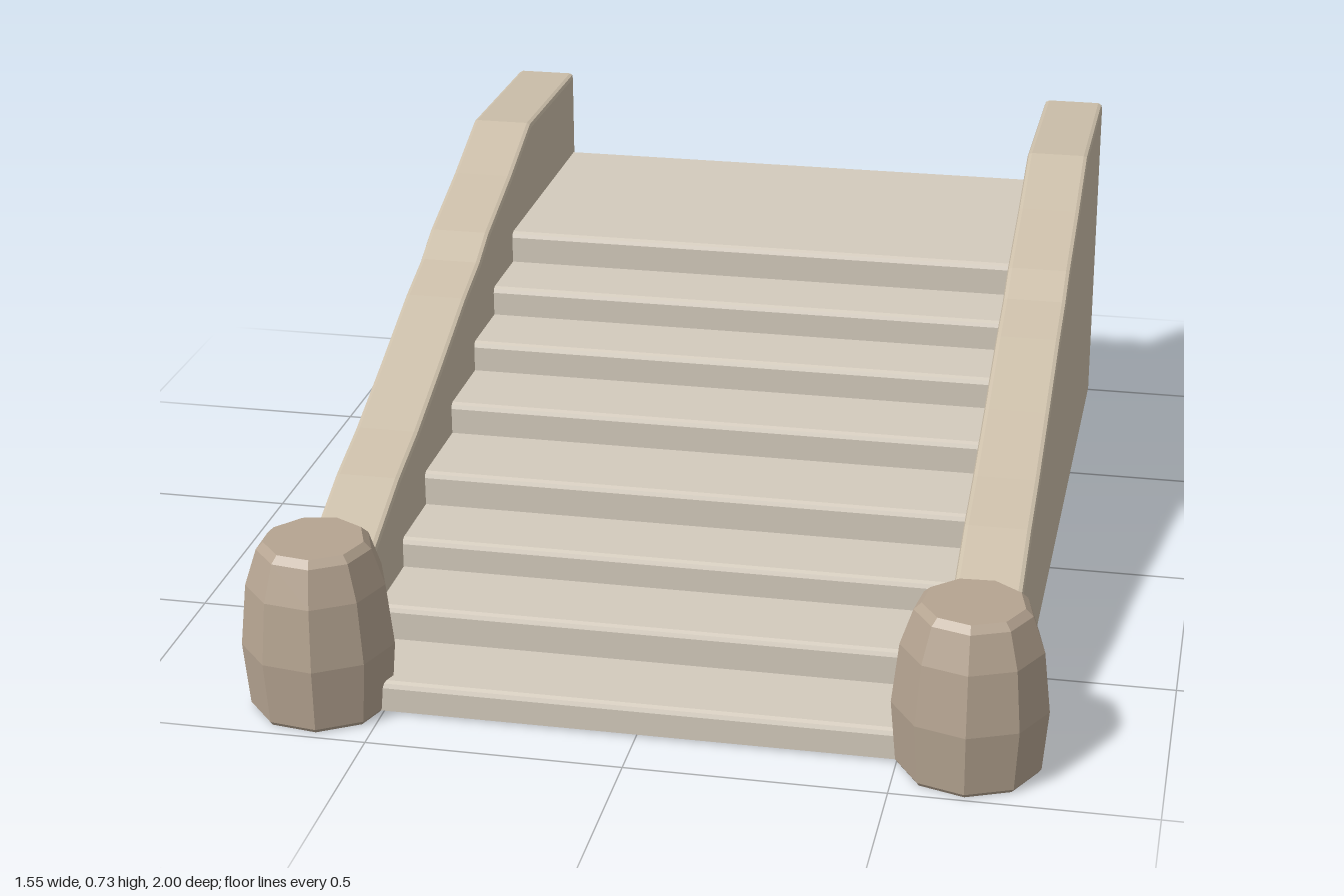
import * as THREE from 'three';

const stepMat = new THREE.MeshStandardMaterial({ color: 0xd3cabc });
const wallMat = new THREE.MeshStandardMaterial({ color: 0xcabda8 });
const postMat = new THREE.MeshStandardMaterial({ color: 0xb5a491, flatShading: true });

// Extrudes a [z, y] side profile across x from x0 to x1, with optional small bevels
function sideExtrude(points, x0, x1, bevel = 0) {
  const shape = new THREE.Shape(points.map(([z, y]) => new THREE.Vector2(z, y)));
  const geo = new THREE.ExtrudeGeometry(shape, {
    depth: x1 - x0 - 2 * bevel,
    bevelEnabled: bevel > 0,
    bevelSize: bevel,
    bevelThickness: bevel,
    bevelOffset: -bevel,
    bevelSegments: 2,
  });
  geo.rotateY(-Math.PI / 2);
  geo.translate(x1 - bevel, 0, 0);
  return geo;
}

function addMesh(group, name, geo, mat) {
  const mesh = new THREE.Mesh(geo, mat);
  mesh.name = name;
  group.add(mesh);
  return mesh;
}

// Solid flight of steps with worn, chamfered nosings
function stepsGeometry() {
  const fronts = [0.88, 0.70, 0.52, 0.35, 0.14, -0.05, -0.22, -0.39];
  const tops = [0.065, 0.135, 0.197, 0.268, 0.335, 0.4, 0.463, 0.532];
  const c = 0.012;
  const profile = [[-0.99, 0.004], [fronts[0], 0.004]];
  fronts.forEach((z, i) => {
    if (i > 0) profile.push([z, tops[i - 1]]);
    profile.push([z, tops[i] - c], [z - c * 0.3, tops[i] - c * 0.3], [z - c, tops[i]]);
  });
  profile.push([-0.99 + c, tops[7]], [-0.99, tops[7] - c]);
  return sideExtrude(profile, -0.6, 0.61);
}

// Sloping side wall with a slightly uneven coping
const wallProfile = [
  [-0.995, 0], [0.77, 0], [0.77, 0.235], [0.7, 0.256], [0.52, 0.33], [0.38, 0.372],
  [0.2, 0.44], [0, 0.52], [-0.12, 0.558], [-0.2, 0.598], [-0.4, 0.662],
  [-0.58, 0.73], [-0.995, 0.725],
];

// Faceted, barrel-shaped stone post
function postGeometry() {
  const rings = [
    [0, 0], [0.137, 0], [0.143, 0.008], [0.154, 0.135], [0.14, 0.26], [0.115, 0.333], [0.1, 0.347], [0, 0.347],
  ];
  return new THREE.LatheGeometry(rings.map(([r, y]) => new THREE.Vector2(r, y)), 9);
}

export function createModel() {
  const model = new THREE.Group();
  model.name = 'staircase';

  addMesh(model, 'steps', stepsGeometry(), stepMat);
  addMesh(model, 'rightWall', sideExtrude(wallProfile, -0.695, -0.56, 0.01), wallMat);
  addMesh(model, 'leftWall', sideExtrude(wallProfile, 0.573, 0.707, 0.01), wallMat);

  const posts = [['rightPost', -0.63, 0.85, 0.2, 1], ['leftPost', 0.633, 0.855, 0.75, 0.965]];
  for (const [name, x, z, turn, height] of posts) {
    const post = addMesh(model, name, postGeometry(), postMat);
    post.position.set(x, 0, z);
    post.rotation.y = turn;
    post.scale.set(0.97, height, 0.97);
  }
  return model;
}
